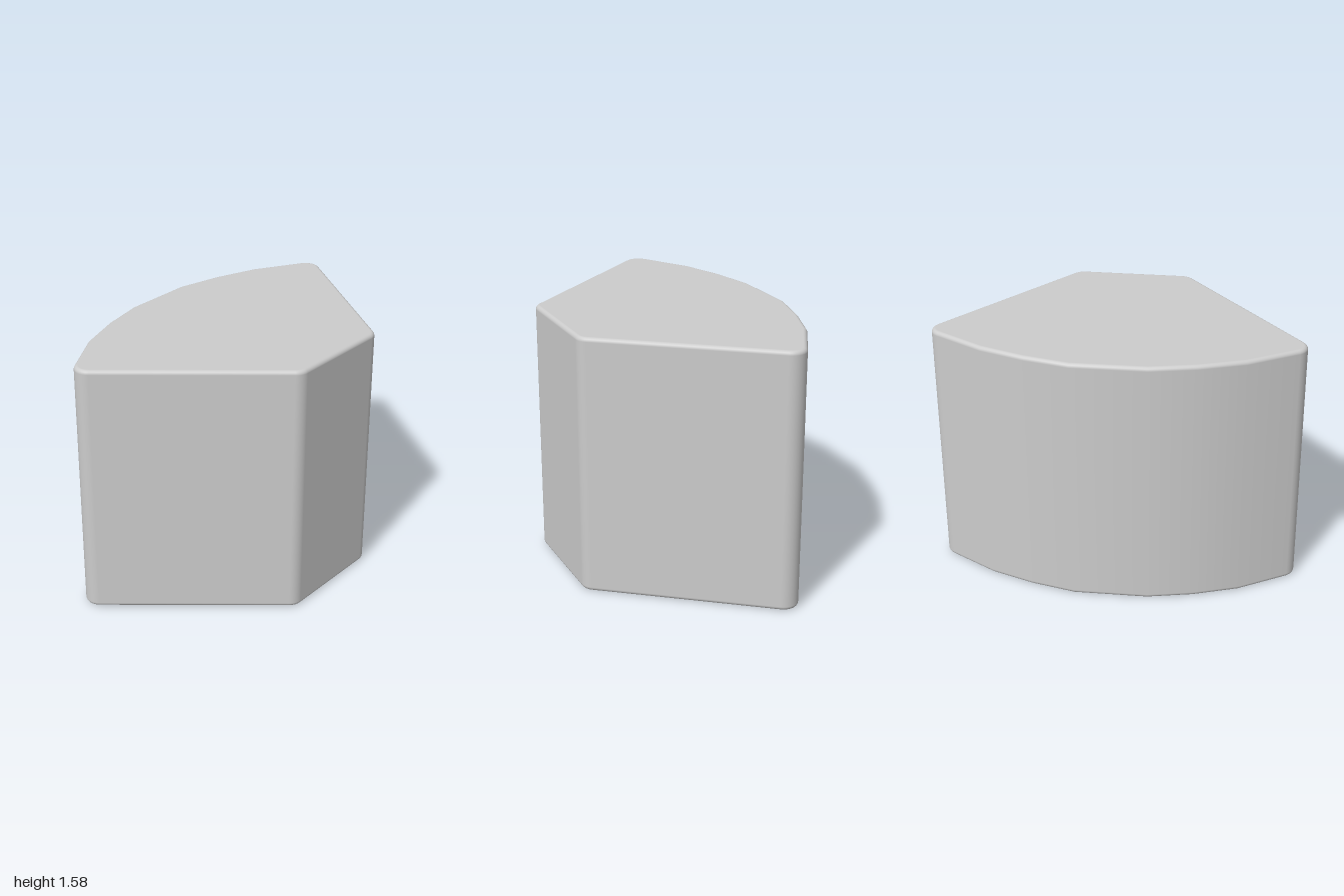
import * as THREE from 'three';

const HEIGHT = 1.575, BEVEL = 0.025, CORNER = 0.09;

// Plan outline [x, z], clockwise from above; "true" marks a rounded corner
const PLAN = [
  [-1.045, 0.288, true], [-0.81, -0.09], [-0.61, -0.3], [-0.39, -0.48], [0.01, -0.69],
  [0.29, -0.76], [0.57, -0.797], [1.015, -0.774, true], [0.79, 0.48, true], [0.149, 0.807, true],
];

// Outline points with outward normals: corners become arcs, the curved back stays faceted but smooth-shaded
function outline() {
  const out = [];
  PLAN.forEach(([x, z, round], i) => {
    const p = new THREE.Vector2(x, z);
    const before = PLAN[(i + PLAN.length - 1) % PLAN.length], after = PLAN[(i + 1) % PLAN.length];
    const d0 = new THREE.Vector2(x - before[0], z - before[1]).normalize();
    const d1 = new THREE.Vector2(after[0] - x, after[1] - z).normalize();
    const n0 = new THREE.Vector2(d0.y, -d0.x), n1 = new THREE.Vector2(d1.y, -d1.x);
    const mid = n0.clone().add(n1).normalize();
    if (!round) return out.push({ p, n: mid });
    const centre = p.clone().addScaledVector(mid, -CORNER / mid.dot(n0));
    const a0 = n0.angle(), turn = Math.acos(n0.dot(n1)), steps = 8;
    for (let k = 0; k <= steps; k++) {
      const a = a0 + (turn * k) / steps;
      const n = new THREE.Vector2(Math.cos(a), Math.sin(a));
      out.push({ p: centre.clone().addScaledVector(n, CORNER), n });
    }
  });
  return out;
}

// Stacked outlines: rounded bottom edge, straight wall, rounded top edge, flat caps
function blockGeometry() {
  const ring = outline(), count = ring.length, steps = 5;
  const levels = [];
  for (let k = 0; k <= steps; k++) levels.push([-Math.PI / 2 * (1 - k / steps), BEVEL]);
  for (let k = 0; k <= steps; k++) levels.push([Math.PI / 2 * (k / steps), HEIGHT - BEVEL]);

  const pos = [], nor = [], idx = [];
  for (const [a, y] of levels) {
    const c = Math.cos(a), s = Math.sin(a);
    for (const { p, n } of ring) {
      const inset = BEVEL * (1 - c);
      pos.push(p.x - n.x * inset, y + BEVEL * s, p.y - n.y * inset);
      nor.push(n.x * c, s, n.y * c);
    }
  }
  const last = (levels.length - 1) * count, bottom = levels.length * count, top = bottom + 1;
  pos.push(0.1, 0, 0, 0.1, HEIGHT, 0);
  nor.push(0, -1, 0, 0, 1, 0);

  for (let i = 0; i < count; i++) {
    const next = (i + 1) % count;
    for (let j = 0; j < levels.length - 1; j++) {
      const a = j * count + i, b = j * count + next;
      idx.push(a, a + count, b + count, a, b + count, b);
    }
    idx.push(bottom, i, next, top, last + next, last + i);
  }
  const geo = new THREE.BufferGeometry();
  geo.setAttribute('position', new THREE.Float32BufferAttribute(pos, 3));
  geo.setAttribute('normal', new THREE.Float32BufferAttribute(nor, 3));
  geo.setIndex(idx);
  return geo;
}

export function createModel() {
  const group = new THREE.Group();
  group.name = 'wedgeBlock';
  const block = new THREE.Mesh(blockGeometry(), new THREE.MeshStandardMaterial({ color: 0xcccccc }));
  block.name = 'curvedBackBlock';
  group.add(block);
  return group;
}
